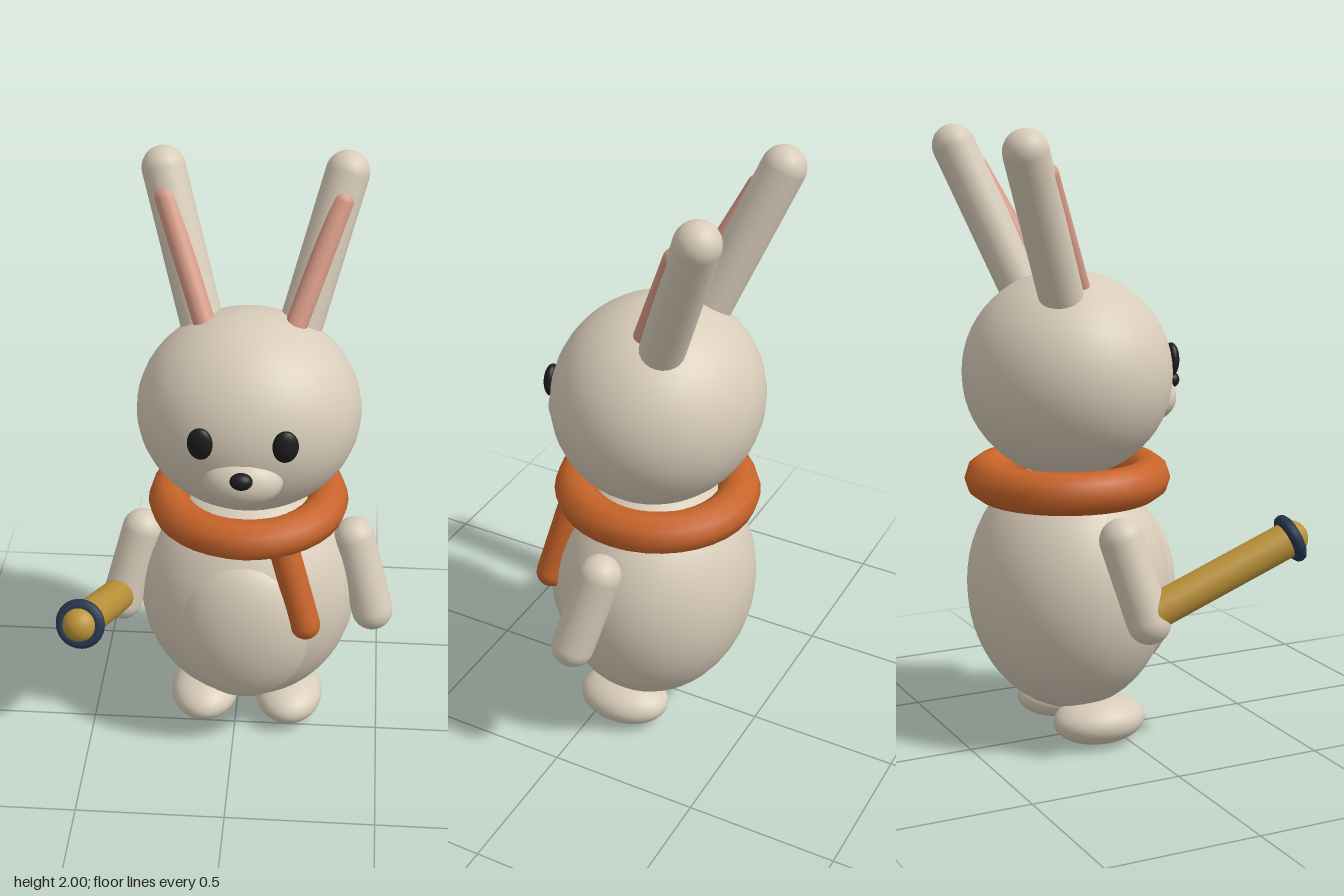
import * as THREE from 'three';

const MID = 0.037; // x of the body's mirror plane

export function createModel() {
  const model = new THREE.Group();
  model.name = 'rabbit';

  const paint = (name, color) => {
    const m = new THREE.MeshStandardMaterial({ color });
    m.name = name;
    return m;
  };
  const cream = paint('cream fur', 0xd8ccb9);
  const pink = paint('pink inner ear', 0xd89c88);
  const orange = paint('orange scarf', 0xc8642a);
  const gold = paint('gold brass', 0xbb9238);
  const navy = paint('navy ring', 0x26364f);
  const black = paint('black', 0x1c1c1e);

  const add = (name, geometry, material) => {
    const mesh = new THREE.Mesh(geometry, material);
    mesh.name = name;
    model.add(mesh);
    return mesh;
  };

  // Ellipsoid from centre and radii; x is measured from the mirror plane
  const ellipsoid = (name, [x, y, z], radii, material) => {
    const mesh = add(name, new THREE.SphereGeometry(1, 40, 28), material);
    mesh.position.set(MID + x, y, z);
    mesh.scale.set(...radii);
    return mesh;
  };

  // Turns local +y of a mesh along a direction
  const aim = (mesh, dir) =>
    mesh.quaternion.setFromUnitVectors(new THREE.Vector3(0, 1, 0), dir.clone().normalize());

  // Round-ended limb between two cap centres
  const limb = (name, from, to, radius, material) => {
    const a = new THREE.Vector3(MID + from[0], from[1], from[2]);
    const b = new THREE.Vector3(MID + to[0], to[1], to[2]);
    const mesh = add(name, new THREE.CapsuleGeometry(radius, a.distanceTo(b), 10, 24), material);
    mesh.position.copy(a).lerp(b, 0.5);
    aim(mesh, b.sub(a));
  };

  // Body and head
  ellipsoid('body', [0, 0.505, -0.132], [0.37, 0.41, 0.327], cream);
  ellipsoid('belly', [0, 0.485, 0.075], [0.234, 0.285, 0.15], cream);
  ellipsoid('head', [0, 1.21, -0.132], [0.367, 0.335, 0.336], cream);
  ellipsoid('muzzle', [0, 1.116, 0.16], [0.128, 0.085, 0.085], cream);
  ellipsoid('nose', [0, 1.162, 0.247], [0.036, 0.028, 0.027], black);

  // Paired parts
  for (const [side, s] of [['left', 1], ['right', -1]]) {
    ellipsoid(side + 'Eye', [s * 0.133, 1.252, 0.178], [0.042, 0.055, 0.024], black).rotation.y = s * 0.15;
    ellipsoid(side + 'Foot', [s * 0.149, 0.077, -0.09], [0.118, 0.077, 0.157], cream);
    limb(side + 'Arm', [s * 0.36, 0.733, -0.113], [s * 0.431, 0.48, -0.052], 0.07, cream);
    limb(side + 'Ear', [s * 0.142, 1.41, -0.198], [s * 0.293, 1.93, -0.396], 0.071, cream);
    limb(side + 'InnerEar', [s * 0.134, 1.47, -0.143], [s * 0.281, 1.862, -0.322], 0.036, pink);
  }

  // Scarf loop and its hanging end
  const scarf = add('scarf', new THREE.TorusGeometry(0.267, 0.069, 10, 36), orange);
  scarf.position.set(MID, 0.87, -0.132);
  scarf.rotation.x = Math.PI / 2;
  limb('scarfEnd', [0.128, 0.83, 0.1], [0.208, 0.556, 0.155], 0.05, orange);

  // Spyglass held in the right hand
  const grip = new THREE.Vector3(-0.4, 0.51, -0.04);
  const tip = new THREE.Vector3(-0.462, 0.713, 0.415);
  const axis = tip.clone().sub(grip);
  const tube = add('spyglassTube', new THREE.CylinderGeometry(0.057, 0.057, axis.length(), 28), gold);
  tube.position.copy(grip).lerp(tip, 0.5);
  aim(tube, axis);
  const lens = add('spyglassLens', new THREE.SphereGeometry(0.057, 28, 18), gold);
  lens.position.copy(tip);
  const ring = add('spyglassRing', new THREE.TorusGeometry(0.061, 0.02, 10, 28).rotateX(Math.PI / 2), navy);
  ring.position.copy(tip);
  aim(ring, axis);

  return model;
}
